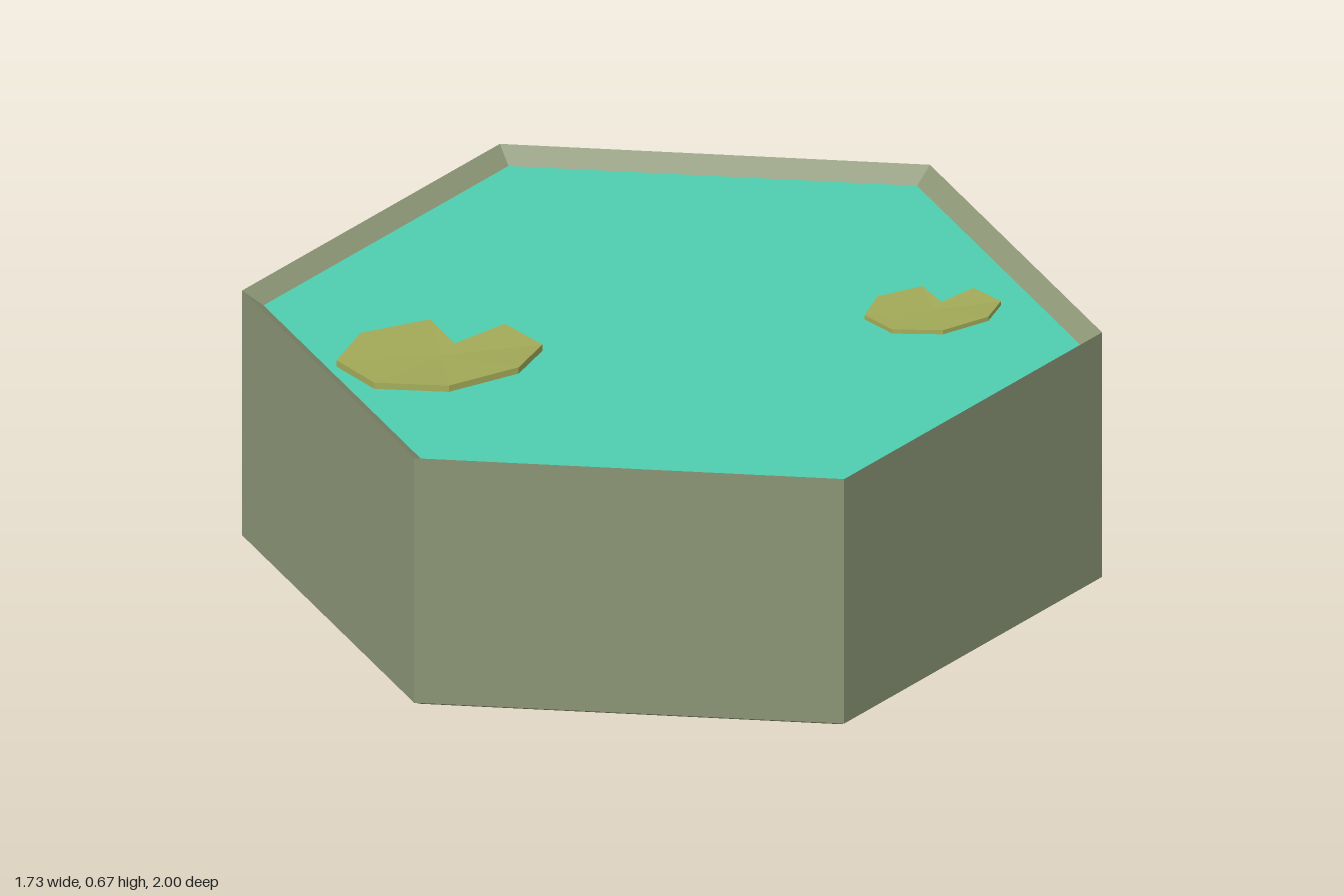
import * as THREE from 'three';

const WATER_Y = 0.6;

const mat = (color) => new THREE.MeshStandardMaterial({ color, flatShading: true });

// Hexagonal block: chamfered foot, straight walls, rim sloping in to the water
function makeTile() {
  const profile = [[0, 0], [0.975, 0], [1, 0.012], [1, 0.635], [0.95, WATER_Y]]
    .map(([r, y]) => new THREE.Vector2(r, y));
  const tile = new THREE.Mesh(new THREE.LatheGeometry(profile, 6), mat(0x8c9676));
  tile.name = 'stoneTile';
  return tile;
}

function makeWater() {
  const geo = new THREE.CircleGeometry(0.95, 6, Math.PI / 2);
  geo.rotateX(-Math.PI / 2);
  const water = new THREE.Mesh(geo, mat(0x4fcfb0));
  water.position.y = WATER_Y;
  water.name = 'water';
  return water;
}

// Tilted, slightly dished leaf with a notch; rim points run clockwise from above
function makePadGeometry() {
  const thickness = 0.016;
  const rim = [
    [0.01, -0.003, -0.23], [0.17, 0.015, -0.16], [0.235, 0.042, 0.02], [0.16, 0.038, 0.19],
    [-0.01, 0.021, 0.25], [-0.17, 0.007, 0.18], [-0.235, -0.008, 0], [-0.16, -0.016, -0.17],
    [-0.02, -0.003, -0.075],
  ];
  const centre = [0, 0, 0];
  const drop = ([x, y, z]) => [x, y - thickness, z];
  const pos = [];
  rim.forEach((p, i) => {
    const n = rim[(i + 1) % rim.length];
    const pd = drop(p), nd = drop(n);
    pos.push(...centre, ...n, ...p); // top
    pos.push(...drop(centre), ...pd, ...nd); // underside
    pos.push(...n, ...nd, ...pd, ...n, ...pd, ...p); // edge
  });
  const geo = new THREE.BufferGeometry();
  geo.setAttribute('position', new THREE.Float32BufferAttribute(pos, 3));
  geo.computeVertexNormals();
  return geo;
}

export function createModel() {
  const model = new THREE.Group();
  model.name = 'pondTile';
  model.add(makeTile(), makeWater());

  const padGeo = makePadGeometry();
  const padMat = mat(0xa5ad5a);
  const pads = [
    { name: 'largeLilyPad', at: [-0.29, 0.63, 0.5], scale: 1, turn: 0 },
    { name: 'smallLilyPad', at: [0.478, 0.632, -0.373], scale: 0.67, turn: 0.06 },
  ];
  for (const { name, at, scale, turn } of pads) {
    const pad = new THREE.Mesh(padGeo, padMat);
    pad.name = name;
    pad.position.set(...at);
    pad.scale.setScalar(scale);
    pad.rotation.y = turn;
    model.add(pad);
  }
  return model;
}
